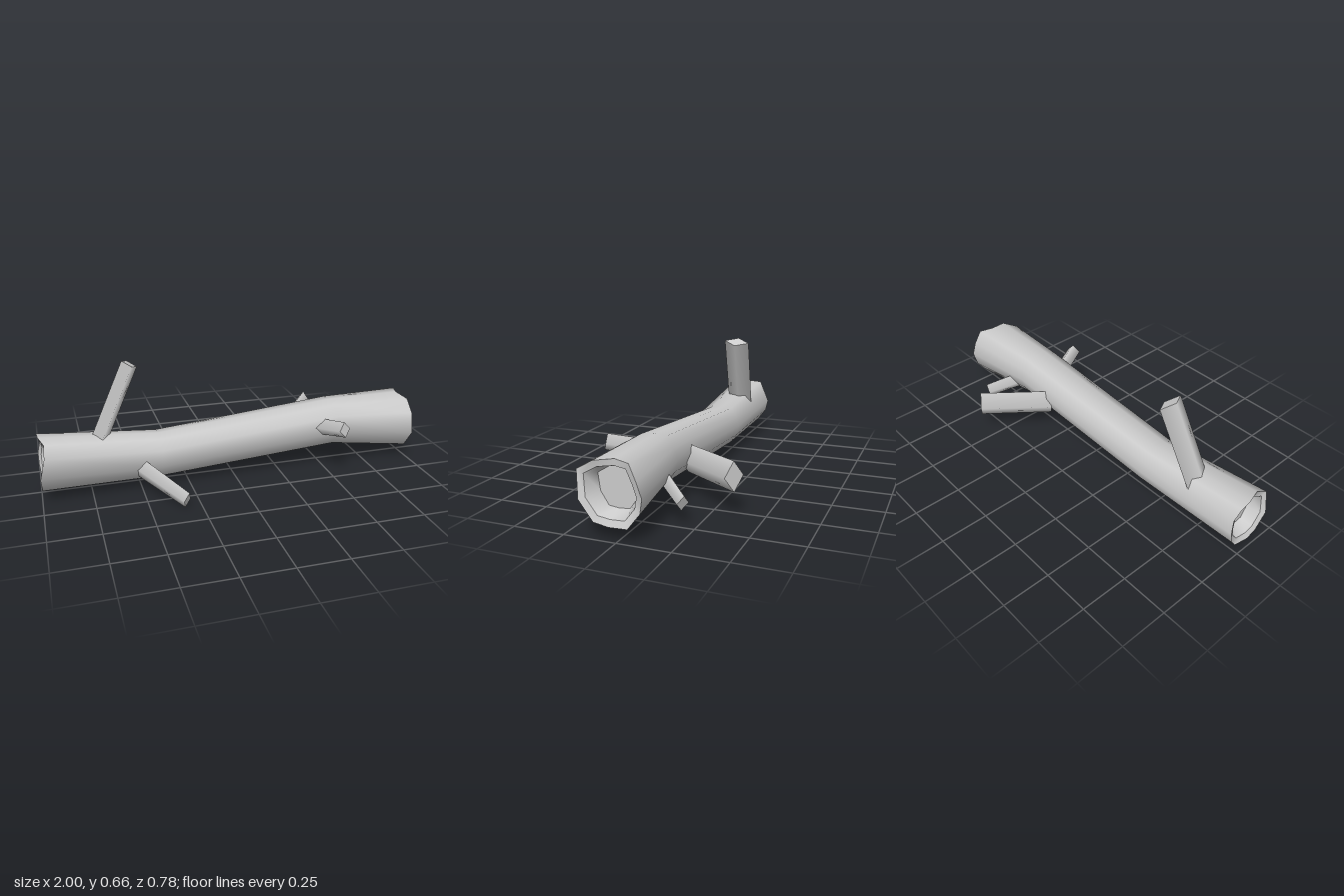
import * as THREE from 'three';

const material = new THREE.MeshStandardMaterial({ color: 0xcccccc, side: THREE.DoubleSide });

// Irregular log cross-section as [z, y], relative to its centre, clockwise seen from +x
const section = [
  [0.071, 0.134], [-0.021, 0.146], [-0.097, 0.141], [-0.134, 0.069], [-0.158, 0],
  [-0.142, -0.071], [-0.089, -0.141], [0.0, -0.146], [0.076, -0.137], [0.141, -0.041], [0.158, 0.084],
];
// How far each rim corner is broken back at the two ends
const chipsRight = [0.015, 0.035, 0.01, 0, 0, 0.012, 0, 0.005, 0.012, 0.005, 0.03];
const chipsLeft = [0.03, 0.005, 0, 0.012, 0, 0, 0.01, 0, 0.005, 0, 0.025];

// One ring of the log: position, centre, size factors, and corner offsets along x
function ring(x, y, z, sy, sz, chips, chipScale = 0) {
  return section.map(([pz, py], j) =>
    new THREE.Vector3(x + (chips ? chips[j] * chipScale : 0), y + py * sy, z + pz * sz));
}

// Skin a run of rings; neighbouring faces share normals
function loft(name, rings) {
  const n = section.length, pos = [], idx = [];
  rings.forEach((r) => r.forEach((p) => pos.push(p.x, p.y, p.z)));
  for (let i = 0; i < rings.length - 1; i++) {
    for (let j = 0; j < n; j++) {
      const a = i * n + j, b = i * n + (j + 1) % n;
      idx.push(a, a + n, b, b, a + n, b + n);
    }
  }
  const geo = new THREE.BufferGeometry();
  geo.setAttribute('position', new THREE.Float32BufferAttribute(pos, 3));
  geo.setIndex(idx);
  geo.computeVertexNormals();
  const mesh = new THREE.Mesh(geo, material);
  mesh.name = name;
  return mesh;
}

// Diamond-section branch from base to tip; "wide" is the direction of its long diagonal
function branch(name, base, tip, wide, halfWide, halfThin, flare = 1) {
  const a = new THREE.Vector3(...base), b = new THREE.Vector3(...tip);
  const dir = b.clone().sub(a), length = dir.length();
  dir.normalize();
  const w = new THREE.Vector3(...wide);
  w.addScaledVector(dir, -w.dot(dir)).normalize();
  const t = new THREE.Vector3().crossVectors(w, dir);
  const geo = new THREE.CylinderGeometry(1, flare, length, 4);
  geo.scale(halfWide, 1, halfThin);
  geo.applyMatrix4(new THREE.Matrix4().makeBasis(w, dir, t).setPosition(a.add(b).multiplyScalar(0.5)));
  const mesh = new THREE.Mesh(geo, material);
  mesh.name = name;
  return mesh;
}

export function createModel() {
  const group = new THREE.Group();
  group.name = 'brokenLog';

  // Outer bark, with two gentle bends
  const leftEdge = ring(-1, 0.192, 0.062, 0.88, 0.87, chipsLeft, 1);
  const rightEdge = ring(1, 0.211, 0.034, 1, 1, chipsRight, -1);
  group.add(loft('bark', [
    leftEdge,
    ring(-0.4, 0.165, 0.048, 0.74, 0.75),
    ring(0.55, 0.24, 0.037, 0.8, 0.81),
    rightEdge,
  ]));

  // Chipped rim, hollow and floor at each end
  const leftInner = ring(-0.985, 0.192, 0.062, 0.69, 0.69, chipsLeft, 0.6);
  const leftFloor = ring(-0.92, 0.192, 0.062, 0.55, 0.52);
  group.add(loft('leftRim', [leftInner, leftEdge]));
  group.add(loft('leftHollow', [leftFloor, leftInner]));
  group.add(loft('leftHollowFloor', [ring(-0.92, 0.192, 0.062, 0, 0), leftFloor]));

  const rightInner = ring(0.985, 0.211, 0.034, 0.79, 0.8, chipsRight, -0.6);
  const rightFloor = ring(0.91, 0.215, 0.029, 0.64, 0.6);
  group.add(loft('rightRim', [rightEdge, rightInner]));
  group.add(loft('rightHollow', [rightInner, rightFloor]));
  group.add(loft('rightHollowFloor', [rightFloor, ring(0.91, 0.215, 0.029, 0, 0)]));

  // Snapped branches
  group.add(branch('topBranch', [-0.71, 0.235, 0.022], [-0.521, 0.641, -0.012], [0, 0, 1], 0.072, 0.042));
  group.add(branch('frontBranch', [-0.52, 0.143, 0.12], [-0.324, 0.044, 0.368], [0.25, 1, 0.25], 0.044, 0.024, 1.25));
  group.add(branch('backBranch', [0.33, 0.183, -0.05], [0.562, 0.197, -0.366], [0, 1, 0], 0.073, 0.052));
  group.add(branch('frontStub', [0.445, 0.245, 0.1], [0.53, 0.284, 0.291], [0, 1, 0], 0.041, 0.038, 1.1));
  group.add(branch('backStub', [0.635, 0.178, -0.06], [0.742, 0.111, -0.193], [0, 1, 0], 0.04, 0.03, 1.1));

  return group;
}
